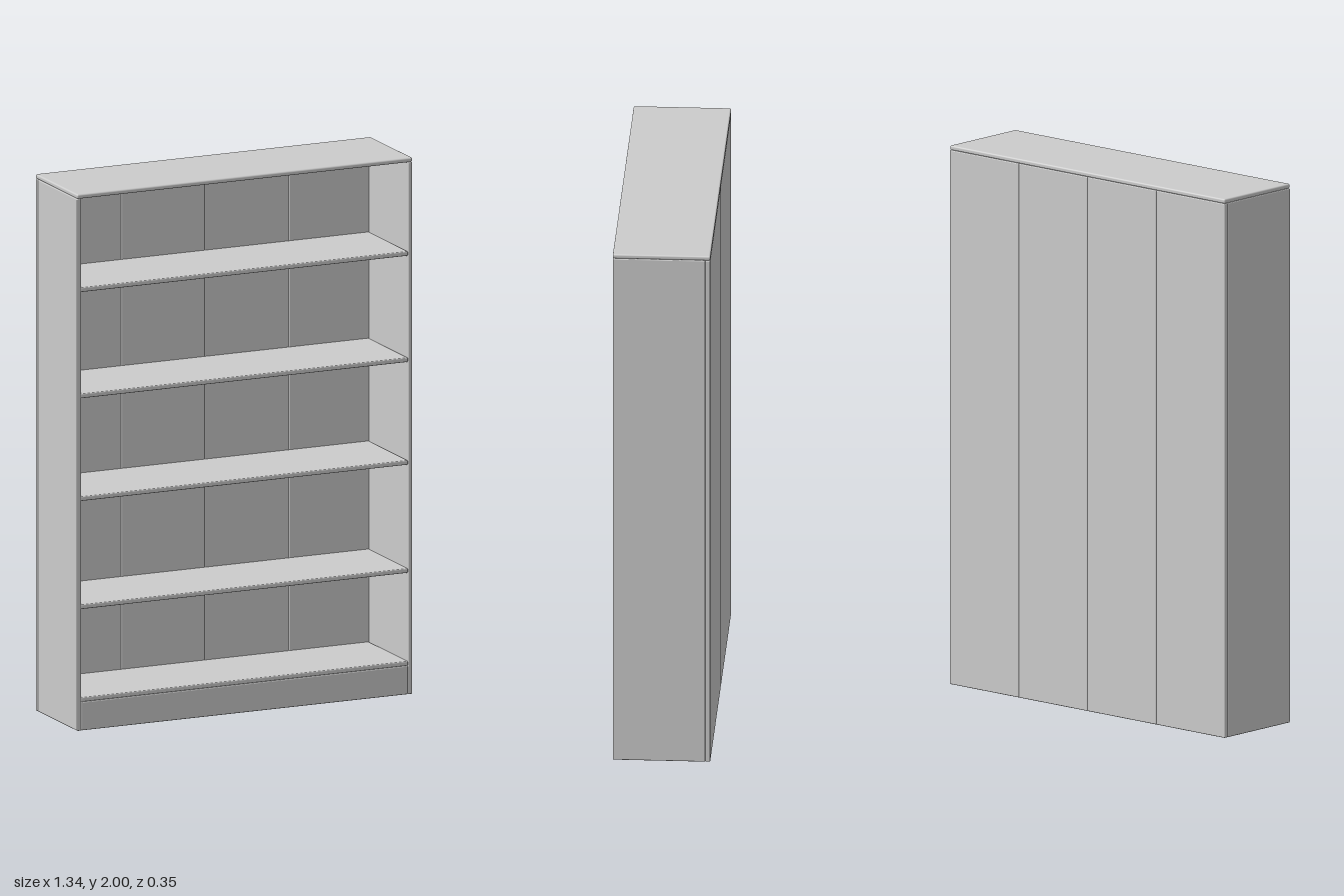
import * as THREE from 'three';
import { RoundedBoxGeometry } from 'three/addons/geometries/RoundedBoxGeometry.js';

export function createModel() {
  const model = new THREE.Group();
  model.name = 'bookcase';
  const material = new THREE.MeshStandardMaterial({ color: 0xcccccc });

  const W = 1.344, H = 2, D = 0.354; // overall size
  const board = 0.017;               // board thickness
  const backT = 0.018;               // back plank thickness
  const front = D / 2, back = -D / 2;

  // A softly rounded board given by its lower and upper corners
  function addBoard(name, x0, x1, y0, y1, z0, z1, radius = 0.004) {
    const geometry = new RoundedBoxGeometry(x1 - x0, y1 - y0, z1 - z0, 3, radius);
    const mesh = new THREE.Mesh(geometry, material);
    mesh.name = name;
    mesh.position.set((x0 + x1) / 2, (y0 + y1) / 2, (z0 + z1) / 2);
    model.add(mesh);
  }

  const topY = H - board;
  const inner = W / 2 - board;

  // Top board covers the sides and the back
  addBoard('topBoard', -W / 2, W / 2, topY, H, back, front, 0.006);

  // Side panels
  addBoard('rightSide', -W / 2, -inner, 0, topY, back + backT, front);
  addBoard('leftSide', inner, W / 2, 0, topY, back + backT, front);

  // Back made of four upright planks
  const plankW = W / 4;
  for (let i = 0; i < 4; i++) {
    const x = -W / 2 + i * plankW;
    addBoard('backPlank' + (i + 1), x, x + plankW, 0, topY, back, back + backT);
  }

  // Shelves, the lowest resting on the plinth
  [0.115, 0.461, 0.864, 1.247, 1.643].forEach((y, i) => {
    addBoard('shelf' + (i + 1), -inner, inner, y - board / 2, y + board / 2, back + backT, front - 0.001);
  });

  // Front plinth board, hollow behind and open below
  addBoard('plinth', -inner, inner, 0, 0.1065, front - 0.001 - board, front - 0.001);

  return model;
}
